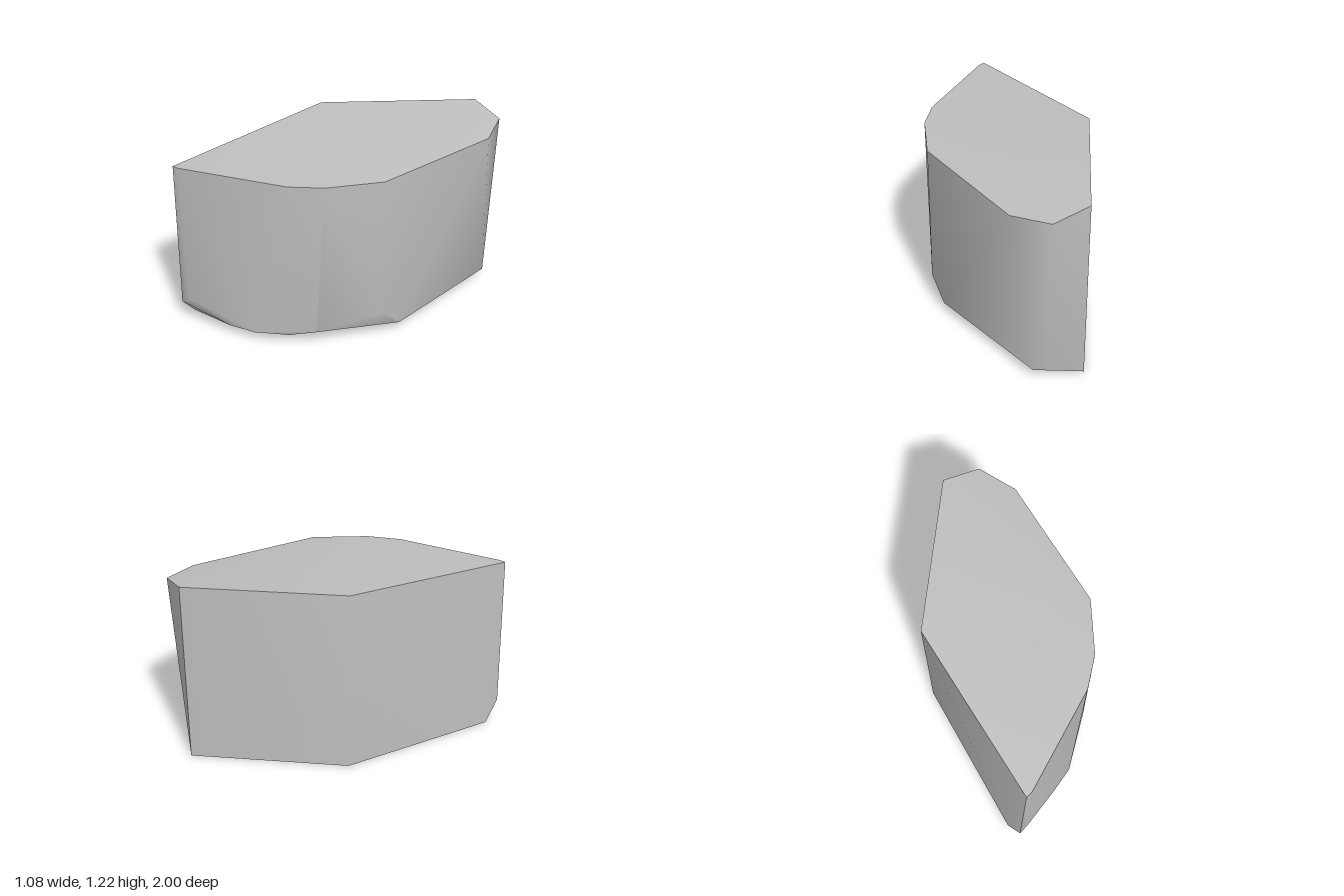
import * as THREE from 'three';
import { ConvexGeometry } from 'three/addons/geometries/ConvexGeometry.js';
import { toCreasedNormals } from 'three/addons/utils/BufferGeometryUtils.js';

const grey = new THREE.MeshStandardMaterial({ color: 0xbebebe });
grey.name = 'plain grey';

// Corners of the top face, going round from the back
const topRim = [
  [0.16, 1.22, -1], [0.41, 1.175, -0.97], [0.535, 1.155, -0.73],
  [0.52, 1.155, 0.16], [0.34, 1.155, 0.48], [0.18, 1.155, 0.64],
  [-0.44, 1.155, 0.99], [-0.485, 1.155, 1], [-0.485, 1.22, -0.19],
];

// Where the walls begin to turn in above the base
const lowerWall = [
  [0.52, 0.2, 0.17], [0.3, 0.105, 0.53], [-0.45, 0.19, 0.99], [-0.515, 0.135, 1],
];

// Corners of the sloping base
const baseRim = [
  [0.16, 0, -1], [0.36, 0.06, -0.91], [0.45, 0.06, -0.86],
  [0.53, 0.065, 0.02], [0.17, 0.07, 0.65], [0.01, 0.075, 0.8],
  [-0.16, 0.07, 0.87], [-0.54, 0, 0.89], [-0.485, 0, -0.19],
];

export function createModel() {
  const model = new THREE.Group();
  model.name = 'facetedBlock';

  // Solid convex block: soft turns round the walls, sharp rims and back edges
  const corners = [...topRim, ...lowerWall, ...baseRim].map((p) => new THREE.Vector3(...p));
  const geometry = toCreasedNormals(new ConvexGeometry(corners), THREE.MathUtils.degToRad(57));
  const block = new THREE.Mesh(geometry, grey);
  block.name = 'block';
  model.add(block);

  return model;
}
